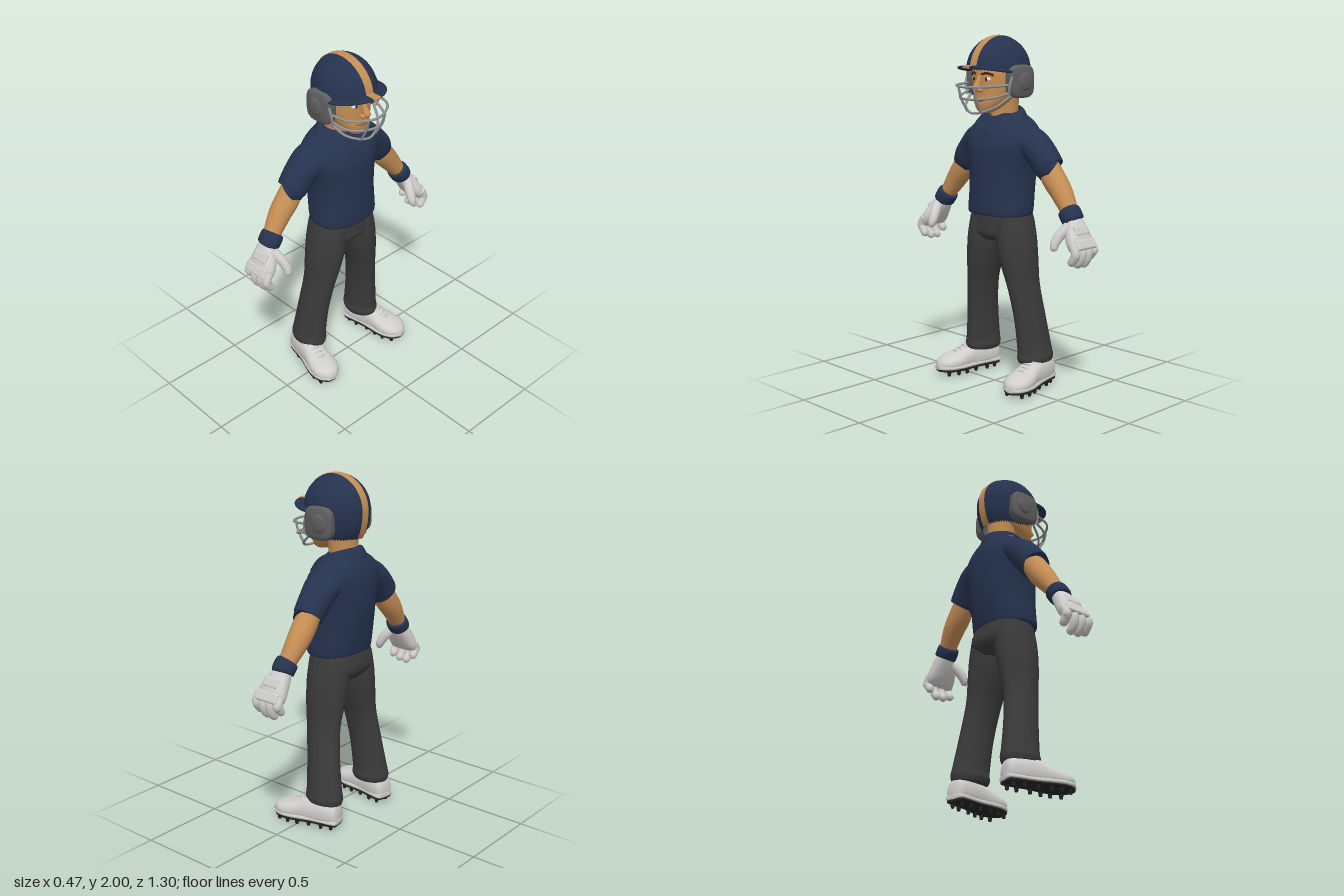
import * as THREE from 'three';
import { toCreasedNormals } from 'three/addons/utils/BufferGeometryUtils.js';
import { RoundedBoxGeometry } from 'three/addons/geometries/RoundedBoxGeometry.js';

const V = (x, y, z) => new THREE.Vector3(x, y, z);
const X = V(1, 0, 0), Y = V(0, 1, 0), Z = V(0, 0, 1);

const paint = (name, color, side = THREE.FrontSide) => {
  const m = new THREE.MeshStandardMaterial({ color, side });
  m.name = name;
  return m;
};

// Smooth skin through rings [x, y, z, radius across, radius along ref]
function loft(rings, { ref = Z, axis = null, p = 2, n = 28, steps = 4, minY = -9 } = {}) {
  const rows = [];
  const at = (i) => rings[Math.min(Math.max(i, 0), rings.length - 1)];
  for (let i = 0; i < rings.length - 1; i++)
    for (let k = i ? 1 : 0; k <= steps; k++) {
      const t = k / steps;
      rows.push(at(i).map((b, c) => {
        const a = at(i - 1)[c], d = at(i + 1)[c], e = at(i + 2)[c];
        const v = 0.5 * (2 * b + (d - a) * t + (2 * a - 5 * b + 4 * d - e) * t * t + (3 * b - a - 3 * d + e) * t ** 3);
        return c > 2 ? Math.max(v, 0.001) : v;
      }));
    }
  const pos = [], idx = [], m = rows.length;
  const centre = (i) => V(...rows[i].slice(0, 3));
  rows.forEach((r, i) => {
    const T = axis ? axis.clone() : centre(Math.min(i + 1, m - 1)).sub(centre(Math.max(i - 1, 0))).normalize();
    const v = ref.clone().addScaledVector(T, -ref.dot(T)).normalize();
    const u = T.clone().cross(v);
    for (let j = 0; j < n; j++) {
      const a = (j / n) * Math.PI * 2, c = Math.cos(a), s = Math.sin(a);
      const q = centre(i)
        .addScaledVector(u, Math.sign(c) * Math.abs(c) ** (2 / p) * r[3])
        .addScaledVector(v, Math.sign(s) * Math.abs(s) ** (2 / p) * r[4]);
      pos.push(q.x, Math.max(q.y, minY), q.z);
    }
  });
  for (let i = 0; i < m - 1; i++)
    for (let j = 0; j < n; j++) {
      const k = (j + 1) % n, a = i * n + j, b = i * n + k;
      idx.push(a, a + n, b, b, a + n, b + n);
    }
  for (const i of [0, m - 1]) {
    const c = centre(i), e = pos.length / 3;
    pos.push(c.x, Math.max(c.y, minY), c.z);
    for (let j = 0; j < n; j++) {
      const a = i * n + j, b = i * n + ((j + 1) % n);
      idx.push(e, ...(i ? [b, a] : [a, b]));
    }
  }
  const g = new THREE.BufferGeometry();
  g.setAttribute('position', new THREE.Float32BufferAttribute(pos, 3));
  g.setIndex(idx);
  return toCreasedNormals(g, 0.9);
}

// Reshape a built-in geometry from its uv coordinates
function warp(g, rule) {
  const { position: p, uv } = g.attributes;
  for (let i = 0; i < p.count; i++) p.setXYZ(i, ...rule(uv.getX(i), uv.getY(i)));
  return toCreasedNormals(g, 0.9);
}

// Point on the helmet shell: horizontal direction (dx, dz), polar angle th
function shell(dx, dz, th, k = 1) {
  let r = Math.sin(th);
  if (th > Math.PI / 2) r = 1 - (1 - r) * 0.5;
  return [dx * r * 0.165 * k, 1.81 + 0.19 * Math.cos(th) * k, -0.03 + dz * r * 0.195 * k];
}

export function createModel() {
  const navy = paint('navy', 0x26334f), tan = paint('tan', 0xc68e55), charcoal = paint('charcoal', 0x3b3b3c),
    white = paint('offWhite', 0xd0cecd), black = paint('black', 0x232323), grey = paint('padGrey', 0x5f5f60),
    steel = paint('steelGrey', 0x909194), eyeWhite = paint('eyeWhite', 0xe8e4de), brown = paint('darkBrown', 0x3a2618),
    lip = paint('lipBrown', 0x9c6238), cloth = paint('navyCloth', 0x26334f, THREE.DoubleSide);

  const model = new THREE.Group(), body = new THREE.Group();
  model.name = 'batter';
  body.name = 'figure';
  body.rotation.y = Math.PI / 2; // figure looks along +x
  model.add(body);
  const add = (name, geo, mat, parent = body) => {
    const m = new THREE.Mesh(geo, mat);
    m.name = name;
    parent.add(m);
    return m;
  };
  const blob = (name, mat, at, size) => {
    const m = add(name, new THREE.SphereGeometry(1, 20, 14), mat);
    m.position.set(...at);
    m.scale.set(...size);
    return m;
  };
  const tube = (name, pts, r, mat, parent = body) =>
    add(name, new THREE.TubeGeometry(new THREE.CatmullRomCurve3(pts.map((q) => V(...q))), 24, r, 8), mat, parent);

  // Shirt
  add('shirt', loft([[0, 0.995, -0.045, 0.188, 0.14], [0, 1.015, -0.047, 0.2, 0.15], [0, 1.15, -0.06, 0.194, 0.16],
    [0, 1.28, -0.067, 0.203, 0.163], [0, 1.38, -0.07, 0.23, 0.16], [0, 1.45, -0.08, 0.24, 0.145],
    [0, 1.5, -0.088, 0.205, 0.125], [0, 1.535, -0.09, 0.16, 0.11], [0, 1.57, -0.09, 0.1, 0.085]], { axis: Y, p: 2.4, n: 40 }), navy);
  const placket = add('placket', new RoundedBoxGeometry(0.04, 0.12, 0.012, 2, 0.005), navy);
  placket.position.set(0, 1.425, 0.077);
  placket.rotation.x = -0.3;
  for (const y of [1.41, 1.45]) blob('button', navy, [0, y, 0.088 - (y - 1.41) * 0.35], [0.007, 0.007, 0.005]);
  const edge = (pts) => new THREE.CatmullRomCurve3([...pts.slice(1).reverse().map(([x, y, z]) => V(-x, y, z)), ...pts.map((q) => V(...q))]);
  const rim = edge([[0, 1.61, -0.165], [0.1, 1.59, -0.1], [0.085, 1.55, 0], [0.012, 1.49, 0.065]]);
  const fall = edge([[0, 1.54, -0.21], [0.155, 1.545, -0.1], [0.155, 1.49, 0.02], [0.095, 1.445, 0.085]]);
  add('collar', warp(new THREE.PlaneGeometry(1, 1, 48, 6), (u, v) =>
    rim.getPoint(u).lerp(fall.getPoint(u), 1 - v).add(V(0, 0.014 * Math.sin(Math.PI * v), 0)).toArray()), cloth);

  // Trousers
  add('hips', loft([[0, 1.02, -0.06, 0.185, 0.13], [0, 0.93, -0.068, 0.203, 0.14], [0, 0.88, -0.062, 0.195, 0.132],
    [0, 0.845, -0.06, 0.15, 0.1]], { axis: Y.clone().negate(), p: 2.4 }), charcoal);
  tube('flySeam', [[0.012, 0.99, 0.075], [0.014, 0.92, 0.074], [0, 0.87, 0.06]], 0.004, charcoal);

  for (const s of [1, -1]) {
    const side = s > 0 ? 'left' : 'right';
    const R = (...rings) => rings.map(([x, ...rest]) => [x * s, ...rest]);
    const part = (name) => side + name;

    // Leg
    add(part('TrouserLeg'), loft(R([0.1, 0.97, -0.06, 0.095, 0.125], [0.115, 0.85, -0.06, 0.106, 0.13],
      [0.14, 0.72, -0.062, 0.094, 0.122], [0.167, 0.58, -0.07, 0.075, 0.108], [0.194, 0.4, -0.092, 0.075, 0.105],
      [0.212, 0.22, -0.112, 0.083, 0.113], [0.215, 0.175, -0.115, 0.09, 0.119], [0.217, 0.145, -0.115, 0.083, 0.112])), charcoal);
    tube(part('LegSeam'), R([0.204, 0.95, -0.06], [0.221, 0.82, -0.06], [0.242, 0.58, -0.07], [0.269, 0.4, -0.09], [0.295, 0.22, -0.11]), 0.003, charcoal);

    // Shoe
    const shoe = new THREE.Group();
    shoe.name = part('Shoe');
    shoe.position.set(0.258 * s, 0, -0.025);
    shoe.rotation.y = 0.2 * s;
    body.add(shoe);
    add('upper', loft([[0, 0.075, -0.207, 0.035, 0.035], [0, 0.085, -0.19, 0.056, 0.07], [0, 0.09, -0.12, 0.066, 0.085],
      [0, 0.09, -0.03, 0.068, 0.082], [0, 0.085, 0.03, 0.074, 0.065], [0, 0.075, 0.09, 0.083, 0.053],
      [0, 0.07, 0.15, 0.078, 0.042], [0, 0.065, 0.19, 0.05, 0.03], [0, 0.06, 0.207, 0.02, 0.014]],
    { ref: Y, axis: Z, p: 2.3, minY: 0.045 }), white, shoe);
    const sole = (name, y, h, k, mat) => add(name, loft([[0, y, -0.21, 0.03, h], [0, y, -0.19, 0.06, h], [0, y, -0.05, 0.066, h],
      [0, y, 0.09, 0.086, h], [0, y, 0.17, 0.07, h], [0, y, 0.21, 0.025, h]].map(([x, b, z, w, c]) => [x, b, z * k, w * k, c]),
    { ref: Y, axis: Z, p: 5 }), mat, shoe);
    sole('midsole', 0.05, 0.013, 1, white);
    sole('outsole', 0.033, 0.009, 0.97, black);
    for (const [z, w] of [[-0.17, 0.035], [-0.11, 0.045], [-0.03, 0.045], [0.04, 0.058], [0.1, 0.062], [0.16, 0.05]])
      for (const x of [-w, w]) add('stud', new THREE.CylinderGeometry(0.014, 0.009, 0.03, 10).translate(x, 0.015, z), black, shoe);
    for (let i = 0; i < 4; i++) {
      const z = -0.01 + i * 0.03, y = 0.17 - i * 0.012;
      tube('lace', [[-0.04, y - 0.019, z], [0, y, z + 0.005], [0.04, y - 0.019, z]], 0.006, white, shoe);
    }

    // Arm
    add(part('Sleeve'), loft(R([0.08, 1.455, -0.085, 0.07, 0.1], [0.19, 1.415, -0.092, 0.083, 0.108], [0.26, 1.36, -0.098, 0.085, 0.095],
      [0.325, 1.282, -0.1, 0.087, 0.083], [0.33, 1.276, -0.1, 0.08, 0.077])), navy);
    add(part('Arm'), loft(R([0.28, 1.34, -0.1, 0.06, 0.06], [0.36, 1.225, -0.1, 0.068, 0.067], [0.425, 1.145, -0.1, 0.062, 0.062],
      [0.51, 1.03, -0.087, 0.042, 0.046])), tan);
    add(part('Wristband'), loft(R([0.481, 1.064, -0.088, 0.05, 0.053], [0.489, 1.054, -0.087, 0.06, 0.065],
      [0.52, 1.012, -0.085, 0.06, 0.065], [0.526, 1.003, -0.085, 0.05, 0.053])), navy);

    // Glove
    add(part('Palm'), loft(R([0.515, 1.02, -0.085, 0.04, 0.05], [0.545, 0.97, -0.08, 0.045, 0.068], [0.583, 0.905, -0.068, 0.044, 0.09],
      [0.602, 0.86, -0.064, 0.03, 0.085], [0.604, 0.845, -0.064, 0.015, 0.07]), { p: 2.6 }), white);
    [0.8, 0.765, 0.768, 0.785].forEach((tip, i) => {
      const z = -0.137 + i * 0.049, r = 0.025;
      add(part('Finger'), loft(R([0.6, 0.9, z, r, r], [0.625, 0.855, z, r, r * 1.05], [0.618, tip + 0.045, z, r, r],
        [0.594, tip + 0.012, z, r * 0.9, r * 0.9], [0.584, tip, z, r * 0.4, r * 0.4]), { n: 14 }), white);
    });
    add(part('Thumb'), loft(R([0.53, 0.985, -0.04, 0.03, 0.03], [0.506, 0.935, 0.008, 0.029, 0.03], [0.496, 0.89, 0.036, 0.025, 0.026],
      [0.5, 0.862, 0.046, 0.018, 0.018], [0.502, 0.854, 0.048, 0.008, 0.008]), { n: 14 }), white);
    for (const [x, y, w] of [[0.591, 0.965, 0.1], [0.627, 0.895, 0.15]]) {
      const pad = add(part('GlovePad'), new RoundedBoxGeometry(0.026, 0.06, w, 3, 0.012), white);
      pad.position.set(x * s, y, -0.068);
      pad.rotation.z = 0.5 * s;
    }

    // Face half
    blob(part('Eye'), eyeWhite, [0.05 * s, 1.763, 0.104], [0.023, 0.014, 0.014]);
    blob(part('Iris'), brown, [0.049 * s, 1.763, 0.114], [0.01, 0.011, 0.006]);
    tube(part('Brow'), R([0.02, 1.79, 0.12], [0.05, 1.797, 0.113], [0.085, 1.785, 0.092]), 0.007, brown);
    blob(part('Nostril'), tan, [0.019 * s, 1.702, 0.133], [0.015, 0.013, 0.018]);
    blob(part('Ear'), tan, [0.125 * s, 1.73, -0.04], [0.02, 0.05, 0.035]);

    // Ear guard
    add(part('EarGuard'), loft(R([0.13, 1.75, -0.04, 0.086, 0.086], [0.165, 1.75, -0.04, 0.092, 0.092], [0.182, 1.75, -0.04, 0.088, 0.088],
      [0.188, 1.75, -0.04, 0.075, 0.075]), { axis: V(s, 0, 0), p: 3.6 }), grey);
    add(part('EarBoss'), loft(R([0.18, 1.75, -0.055, 0.052, 0.052], [0.193, 1.75, -0.055, 0.047, 0.047],
      [0.198, 1.75, -0.055, 0.03, 0.03]), { axis: V(s, 0, 0) }), grey);

    // Upright mask bars
    tube(part('MaskUpright'), R([0.06, 1.725, 0.222], [0.06, 1.66, 0.203], [0.055, 1.585, 0.16]), 0.007, steel);
    tube(part('MaskSideBar'), R([0.178, 1.81, 0.03], [0.175, 1.73, 0.058], [0.162, 1.67, 0.055]), 0.007, steel);
  }

  // Head
  add('neck', loft([[0, 1.47, -0.07, 0.085, 0.09], [0, 1.56, -0.075, 0.08, 0.083], [0, 1.7, -0.07, 0.09, 0.09]]), tan);
  add('head', loft([[0, 1.575, 0.068, 0.03, 0.03], [0, 1.59, 0.058, 0.055, 0.056], [0, 1.63, 0.03, 0.09, 0.092], [0, 1.68, -0.005, 0.115, 0.124],
    [0, 1.74, -0.022, 0.127, 0.142], [0, 1.82, -0.03, 0.125, 0.15], [0, 1.92, -0.03, 0.08, 0.1]], { axis: Y, p: 2.2 }), tan);
  add('nose', loft([[0, 1.785, 0.112, 0.012, 0.014], [0, 1.75, 0.125, 0.014, 0.02], [0, 1.715, 0.142, 0.02, 0.026],
    [0, 1.698, 0.14, 0.016, 0.018], [0, 1.692, 0.135, 0.006, 0.008]], { axis: Y.clone().negate(), n: 16 }), tan);
  tube('mouth', [[-0.042, 1.65, 0.108], [0, 1.645, 0.124], [0.042, 1.65, 0.108]], 0.006, lip);

  // Helmet: the lower rim drops from the brow to the nape
  const dome = paint('navyShell', 0x26334f, THREE.DoubleSide);
  dome.color = navy.color;
  add('helmetShell', warp(new THREE.SphereGeometry(1, 64, 28), (u, v) => {
    const dx = -Math.cos(u * 2 * Math.PI), dz = Math.sin(u * 2 * Math.PI);
    const drop = THREE.MathUtils.smoothstep(Math.acos(THREE.MathUtils.clamp(dz, -1, 1)), 1.05, 1.6);
    return shell(dx, dz, (1 - v) * (1.57 + drop * 0.98));
  }), cloth);
  add('helmetStripe', warp(new THREE.PlaneGeometry(1, 1, 6, 60), (u, v) => {
    const th = 1.5 - (1 - v) * 4.0, x = (u - 0.5) * 0.052;
    const [, y, z] = shell(0, Math.sign(th) || 1, Math.abs(th), 1.015);
    return [x, y - 0.003 * (x / 0.026) ** 2 * Math.abs(Math.cos(th)), z];
  }), tan).material = Object.assign(tan, { side: THREE.DoubleSide });
  const brim = [];
  for (let i = 0; i <= 16; i++) {
    const a = -1.3 + (i / 16) * 2.6, w = 0.02 + 0.055 * Math.cos(a) ** 0.7, k = w / 2 - 0.012;
    brim.push([Math.sin(a) * (0.162 + k * 0.8), 1.832 - 0.03 * Math.sin(a) ** 2, -0.03 + Math.cos(a) * (0.19 + k), w / 2, 0.008]);
  }
  add('helmetBrim', loft(brim, { ref: Y, steps: 2, n: 16, p: 3 }), navy);
  add('brimStripe', new RoundedBoxGeometry(0.05, 0.019, 0.07, 2, 0.006).translate(0, 1.832, 0.192), tan);

  // Face mask hoops: [side, mid, front] as x, y, z
  for (const [a, b, c] of [
    [[0.172, 1.735, 0.03], [0.135, 1.727, 0.165], [0, 1.722, 0.228]],
    [[0.168, 1.695, 0.03], [0.13, 1.665, 0.145], [0, 1.655, 0.21]],
    [[0.162, 1.675, 0.03], [0.115, 1.61, 0.115], [0, 1.575, 0.165]]]) {
    const flip = ([x, y, z]) => [-x, y, z];
    tube('maskHoop', [a, b, c, flip(b), flip(a)], 0.007, steel);
  }
  return model;
}
